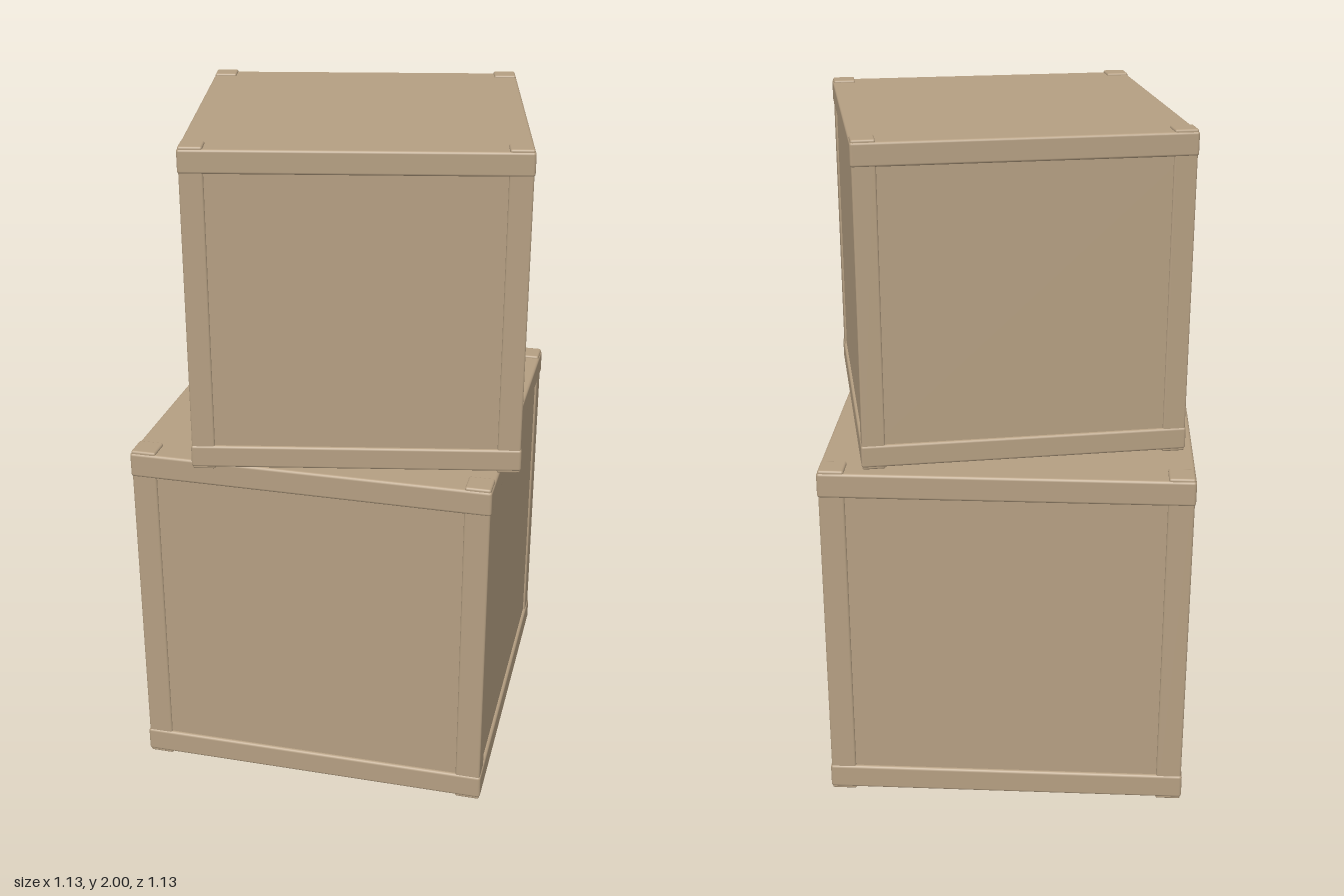
import * as THREE from 'three';
import { RoundedBoxGeometry } from 'three/addons/geometries/RoundedBoxGeometry.js';

const wood = new THREE.MeshStandardMaterial({ color: 0xb59f82 });
wood.name = 'tan wood';

function block(name, w, h, d, x, y, z, radius) {
  const geometry = radius ? new RoundedBoxGeometry(w, h, d, 2, radius) : new THREE.BoxGeometry(w, h, d);
  const mesh = new THREE.Mesh(geometry, wood);
  mesh.name = name;
  mesh.position.set(x, y, z);
  return mesh;
}

// Cubic crate standing on y = 0, built for a side of s
function createCrate(name, s) {
  const crate = new THREE.Group();
  crate.name = name;
  const post = 0.07 * s, rim = 0.071 * s, pad = 0.007 * s, bevel = 0.008 * s;

  // recessed side panels, as one inner box
  crate.add(block('panels', s * 0.982, s * 0.9, s * 0.982, 0, s / 2, 0));

  // base and lid slabs
  crate.add(block('base', s, rim, s, 0, pad + rim / 2, 0, bevel));
  crate.add(block('lid', s, rim, s, 0, s - pad - rim / 2, 0, bevel));

  // corner posts, whose ends stand just proud of the slabs
  const c = s / 2 - post / 2 - 0.003 * s;
  for (const x of [-1, 1]) {
    for (const z of [-1, 1]) {
      crate.add(block('cornerPost', post, s, post, x * c, s / 2, z * c, bevel * 0.75));
    }
  }
  return crate;
}

export function createModel() {
  const model = new THREE.Group();
  model.name = 'stackedCrates';

  const lower = createCrate('lowerCrate', 1.068);
  lower.position.set(-0.034, 0, -0.034);

  // smaller crate, turned a little on top
  const upper = createCrate('upperCrate', 0.936);
  upper.position.set(0.008, 1.064, 0.006);
  upper.rotation.y = THREE.MathUtils.degToRad(11.7);

  model.add(lower, upper);
  return model;
}
